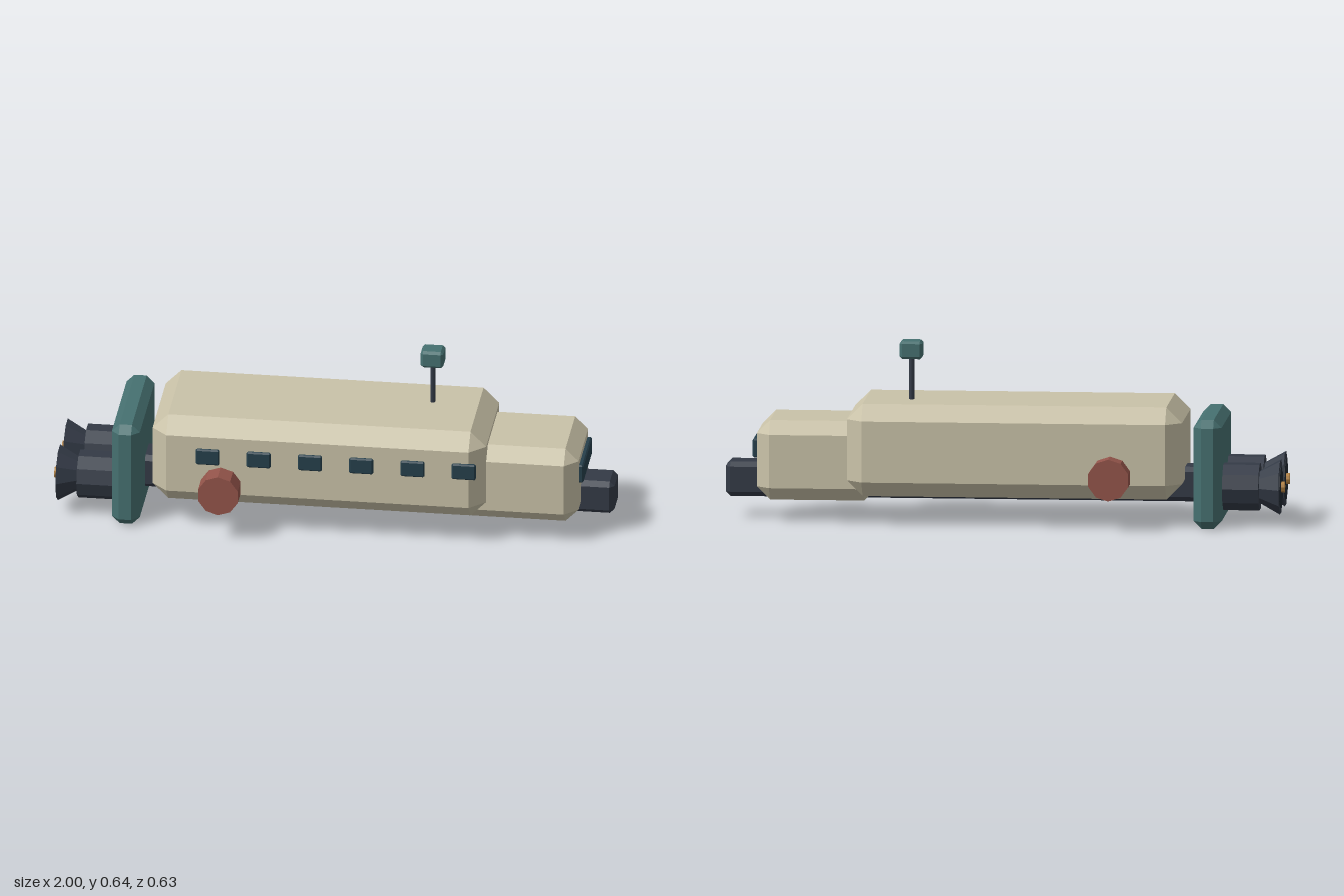
import * as THREE from 'three';
import { ConvexGeometry } from 'three/addons/geometries/ConvexGeometry.js';

const mat = (color) => new THREE.MeshStandardMaterial({ color, flatShading: true });

export function createModel() {
  const group = new THREE.Group();
  const cream = mat(0xc9c2a8), dark = mat(0x333a46), teal = mat(0x467070);
  const red = mat(0x93544a), glass = mat(0x263f4b), frame = mat(0x1f2730), gold = mat(0xb08040);

  const add = (name, geometry, material, x, y, z) => {
    const mesh = new THREE.Mesh(geometry, material);
    mesh.name = name;
    mesh.position.set(x, y, z);
    group.add(mesh);
    return mesh;
  };

  // Box with every edge cut at 45 degrees, given by its min/max corners
  const chamferBox = (name, material, [x0, x1], [y0, y1], [z0, z1], c) => {
    const h = [(x1 - x0) / 2, (y1 - y0) / 2, (z1 - z0) / 2];
    const points = [];
    for (const sx of [-1, 1]) for (const sy of [-1, 1]) for (const sz of [-1, 1]) {
      for (let full = 0; full < 3; full++) {
        const [px, py, pz] = h.map((v, i) => (i === full ? v : v - c));
        points.push(new THREE.Vector3(sx * px, sy * py, sz * pz));
      }
    }
    return add(name, new ConvexGeometry(points), material, (x0 + x1) / 2, (y0 + y1) / 2, (z0 + z1) / 2);
  };

  // Ten-sided cylinder along x; rBack is the radius at the -x end
  const cylinderX = (name, material, x0, x1, y, z, rBack, rFront) => {
    const geometry = new THREE.CylinderGeometry(rBack, rFront, x1 - x0, 10);
    geometry.rotateY(Math.PI / 2).rotateZ(Math.PI / 2);
    geometry.rotateX(Math.PI / 2);
    return add(name, geometry, material, (x0 + x1) / 2, y, z);
  };

  // Body, cabin, keel and rear bulkhead
  chamferBox('hull', cream, [-0.64, 0.555], [0.1, 0.431], [-0.235, 0.235], 0.056);
  chamferBox('cabin', cream, [0.45, 0.88], [0.077, 0.362], [-0.179, 0.179], 0.047);
  chamferBox('keel', dark, [-0.72, 0.998], [0.076, 0.2], [-0.063, 0.063], 0.017);
  chamferBox('bulkhead', teal, [-0.783, -0.683], [0, 0.391], [-0.229, 0.229], 0.028);

  // Windscreen and the row of windows on the left side
  chamferBox('windscreen', glass, [0.874, 0.896], [0.224, 0.292], [-0.12, 0.12], 0.005);
  for (let i = 0; i < 6; i++) {
    const x = -0.435 + i * 0.1835;
    chamferBox('sideWindow', glass, [x - 0.043, x + 0.043], [0.27, 0.33], [0.228, 0.245], 0.005);
  }

  // Side pods
  for (const side of [-1, 1]) {
    const geometry = new THREE.CylinderGeometry(0.075, 0.075, 0.13, 10).rotateX(Math.PI / 2);
    add('sidePod', geometry, red, -0.388, 0.185, side * 0.25);
  }

  // Twin engines: housing, flared nozzle, glowing core
  for (const side of [-1, 1]) {
    const z = side * 0.105;
    cylinderX('engineHousing', dark, -0.912, -0.77, 0.14, z, 0.086, 0.086);
    cylinderX('nozzle', dark, -0.985, -0.9, 0.14, z, 0.1, 0.052);
    cylinderX('nozzleMouth', frame, -0.988, -0.98, 0.14, z, 0.075, 0.075);
    cylinderX('engineCore', gold, -1, -0.97, 0.14, z, 0.02, 0.02);
  }

  // Antenna mast and sensor head
  add('mast', new THREE.CylinderGeometry(0.009, 0.009, 0.19, 8), dark, 0.335, 0.495, -0.045);
  chamferBox('sensorHead', teal, [0.295, 0.376], [0.578, 0.642], [-0.082, -0.009], 0.009);

  return group;
}
